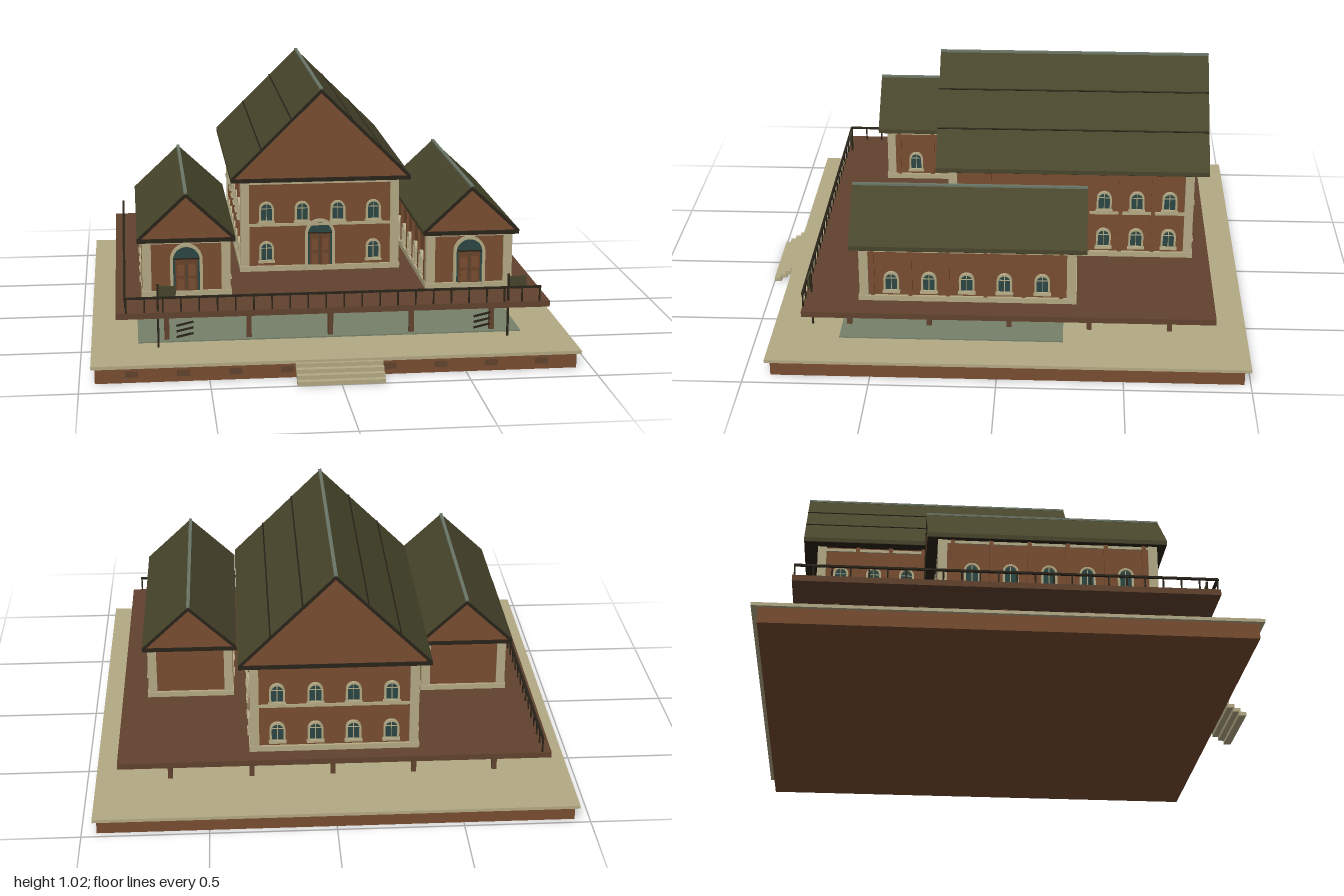
import * as THREE from 'three';

const mat = (color) => new THREE.MeshStandardMaterial({ color });
const M = {
  brick: mat(0x784d31), deck: mat(0x61432e), stone: mat(0xb3a985), roof: mat(0x47452b),
  trim: mat(0x2a2419), glass: mat(0x2b4644), patch: mat(0x76806a), door: mat(0x6a4329),
  ridge: mat(0x6b7666),
};

// Box given by its centre x, bottom y, centre z
function box(parent, name, m, w, h, d, x, y, z) {
  const mesh = new THREE.Mesh(new THREE.BoxGeometry(w, h, d), m);
  mesh.name = name;
  mesh.position.set(x, y + h / 2, z);
  parent.add(mesh);
  return mesh;
}

function extrude(parent, name, m, shape, depth, z = 0) {
  const geo = new THREE.ExtrudeGeometry(shape, { depth, bevelEnabled: false, curveSegments: 10 });
  const mesh = new THREE.Mesh(geo, m);
  mesh.name = name;
  mesh.position.z = z;
  parent.add(mesh);
  return mesh;
}

// Round-headed outline standing on y = y0
function arch(C, w, h, y0 = 0) {
  const r = w / 2, p = new C();
  p.moveTo(-r, y0);
  p.lineTo(r, y0);
  p.lineTo(r, y0 + h - r);
  p.absarc(0, y0 + h - r, r, 0, Math.PI, false);
  p.lineTo(-r, y0);
  return p;
}

// Arched window or door, facing its own +z
function opening(parent, name, w, h, x, y, z, turn = 0, isDoor = false) {
  const g = new THREE.Group();
  g.name = name;
  g.position.set(x, y, z);
  g.rotation.y = turn;
  const t = isDoor ? 0.012 : 0.008;
  const frame = arch(THREE.Shape, w, h);
  frame.holes.push(arch(THREE.Path, w - 2 * t, h - (isDoor ? t : 2 * t), isDoor ? 0 : t));
  extrude(g, 'frame', M.stone, frame, 0.014);
  extrude(g, 'glass', M.glass, arch(THREE.Shape, w - t, h - t, t / 2), 0.004);
  const spring = h - w / 2;
  if (isDoor) {
    for (const s of [-1, 1]) {
      box(g, 'doorLeaf', M.door, w * 0.33, spring, 0.006, s * w * 0.175, 0, 0.005);
      for (const py of [0.15, 0.55]) {
        box(g, 'doorPanel', M.brick, w * 0.2, spring * 0.3, 0.004, s * w * 0.175, spring * py, 0.008);
      }
    }
    box(g, 'transom', M.trim, w - 2 * t, 0.005, 0.008, 0, spring, 0.005);
  } else {
    box(g, 'sill', M.stone, w + 0.008, 0.007, 0.02, 0, -0.003, 0.008);
    box(g, 'mullion', M.stone, 0.003, h - 2 * t, 0.004, 0, t, 0.005);
    box(g, 'glazingBar', M.stone, w - 2 * t, 0.003, 0.004, 0, spring, 0.005);
  }
  parent.add(g);
}

// Gabled roof with ridge along z
function roof(parent, hw, eave, apex, z0, z1, seams) {
  const g = new THREE.Group();
  g.name = 'roof';
  const len = z1 - z0, k = (apex - eave) / hw, t = 0.018;
  const poly = (pts) => new THREE.Shape(pts.map(([x, y]) => new THREE.Vector2(x, y)));
  const skin = poly([[-hw, eave], [-hw, eave - t], [0, apex - t], [hw, eave - t], [hw, eave], [0, apex]]);
  extrude(g, 'roofSlopes', [M.trim, M.roof], skin, len, z0);
  extrude(g, 'gables', M.brick, poly([[-hw + 0.005, eave - 0.01], [hw - 0.005, eave - 0.01], [0, apex - 0.014]]),
    len - 0.008, z0 + 0.004);
  box(g, 'eaveBoard', M.trim, hw * 2 - 0.002, 0.017, len - 0.002, 0, eave - 0.019, (z0 + z1) / 2);
  box(g, 'ridgeCap', M.ridge, 0.014, 0.008, len, 0, apex - 0.005, (z0 + z1) / 2);
  for (const f of seams) for (const s of [-1, 1]) {
    const seam = box(g, 'roofSeam', M.trim, 0.006, 0.004, len, s * hw * f, apex - k * hw * f - 0.001, (z0 + z1) / 2);
    seam.rotation.z = -s * Math.atan(k);
  }
  parent.add(g);
}

// Walls with stone plinth, bands and corner piers; side bays get windows and pilasters
function hall(parent, name, o) {
  const g = new THREE.Group();
  g.name = name;
  g.position.x = o.x;
  const { hw, z0, z1, top } = o, len = z1 - z0, zc = (z0 + z1) / 2, base = 0.24;
  box(g, 'walls', M.brick, hw * 2, top - base, len, 0, base, zc);
  box(g, 'plinth', M.stone, hw * 2 + 0.024, 0.022, len + 0.024, 0, base, zc);
  for (const y of o.bands) box(g, 'stoneBand', M.stone, hw * 2 + 0.012, 0.012, len + 0.012, 0, y, zc);
  for (const x of [-hw, hw]) for (const z of [z0, z1]) {
    box(g, 'cornerPier', M.stone, 0.036, top - base, 0.036, x - Math.sign(x) * 0.01, base, z + (z === z0 ? 0.01 : -0.01));
  }
  for (const s of [-1, 1]) {
    for (const z of o.bays) for (const y of o.floors) {
      opening(g, 'sideWindow', 0.062, 0.088, s * hw, y, z, s * Math.PI / 2);
    }
    for (const z of o.pilasters) box(g, 'pilaster', M.brick, 0.02, top - base, 0.016, s * hw, base, z);
  }
  parent.add(g);
  return g;
}

const row = (start, step, n) => Array.from({ length: n }, (_, i) => start + i * step);

export function createModel() {
  const root = new THREE.Group();
  root.name = 'stiltHouse';

  // Ground platform, vents, steps and lawn
  box(root, 'platformBase', M.brick, 1.88, 0.062, 1.87, 0, 0, -0.04);
  box(root, 'platformSlab', M.stone, 1.91, 0.013, 1.915, 0, 0.062, -0.0425);
  for (const x of row(-0.8, 0.2, 9)) {
    if (Math.abs(x) > 0.18) box(root, 'vent', M.deck, 0.05, 0.025, 0.006, x, 0.022, 0.896);
  }
  row(0, 1, 4).forEach((i) => box(root, 'step', M.stone, 0.34, 0.016, 0.03, 0, i * 0.0165, 0.985 - i * 0.0235));
  box(root, 'lawn', M.patch, 1.54, 0.005, 0.9, 0, 0.075, 0.19);

  // Raised deck on stilts
  box(root, 'deck', M.deck, 1.712, 0.024, 1.635, 0, 0.216, -0.0425);
  for (const x of row(-0.656, 0.328, 5)) for (const z of row(-0.69, 0.325, 5)) {
    box(root, 'stilt', M.deck, 0.02, 0.145, 0.02, x, 0.073, z);
  }

  // Railing along the front and one side
  const rail = new THREE.Group();
  rail.name = 'railing';
  box(rail, 'frontRail', M.trim, 1.64, 0.008, 0.01, 0, 0.295, 0.771);
  box(rail, 'sideRail', M.trim, 0.01, 0.008, 1.63, -0.82, 0.295, -0.042);
  for (const x of row(-0.815, 1.63 / 23, 24)) box(rail, 'frontPost', M.trim, 0.006, 0.06, 0.006, x, 0.237, 0.771);
  for (const z of row(-0.853, 1.624 / 23, 23)) box(rail, 'sidePost', M.trim, 0.006, 0.06, 0.006, -0.82, 0.237, z);
  root.add(rail);

  // Sign poles with panels, and slanted slats beside them
  for (const s of [-1, 1]) {
    box(root, 'signPole', M.trim, 0.008, 0.255, 0.008, s * 0.692, 0.095, 0.755);
    const panel = box(root, 'signPanel', M.roof, 0.07, 0.046, 0.006, s * 0.692 + 0.036, 0.295, 0.755);
    panel.rotation.z = s * 0.06;
    for (const y of [0.137, 0.16, 0.183]) {
      box(root, 'slat', M.trim, 0.068, 0.007, 0.008, s * 0.588, y, 0.755).rotation.z = 0.22;
    }
  }

  // Main hall
  const main = hall(root, 'mainHall', {
    x: 0, hw: 0.325, z0: -0.78, z1: 0.215, top: 0.64, bands: [0.432, 0.612],
    bays: row(-0.69, 0.135, 7), floors: [0.28, 0.45], pilasters: row(-0.6225, 0.135, 6),
  });
  roof(main, 0.375, 0.65, 1.02, -0.845, 0.272, [1 / 3, 2 / 3]);
  opening(main, 'mainDoor', 0.126, 0.22, 0, 0.24, 0.215, 0, true);
  for (const x of [-0.225, -0.075, 0.075, 0.225]) {
    opening(main, 'frontWindow', 0.062, 0.088, x, 0.45, 0.215);
    if (Math.abs(x) > 0.1) opening(main, 'frontWindow', 0.062, 0.088, x, 0.28, 0.215);
    for (const y of [0.28, 0.45]) opening(main, 'backWindow', 0.062, 0.088, x, y, -0.78, Math.PI);
  }

  // Side wings
  for (const s of [-1, 1]) {
    const wing = hall(root, s > 0 ? 'leftWing' : 'rightWing', {
      x: s * 0.572, hw: 0.168, z0: -0.3, z1: 0.545, top: 0.48, bands: [0.455],
      bays: row(-0.175, 0.15, 5), floors: [0.28], pilasters: row(-0.25, 0.15, 6),
    });
    roof(wing, 0.195, 0.488, 0.67, -0.35, 0.59, []);
    opening(wing, 'wingDoor', 0.13, 0.21, 0, 0.245, 0.545, 0, true);
  }
  return root;
}
